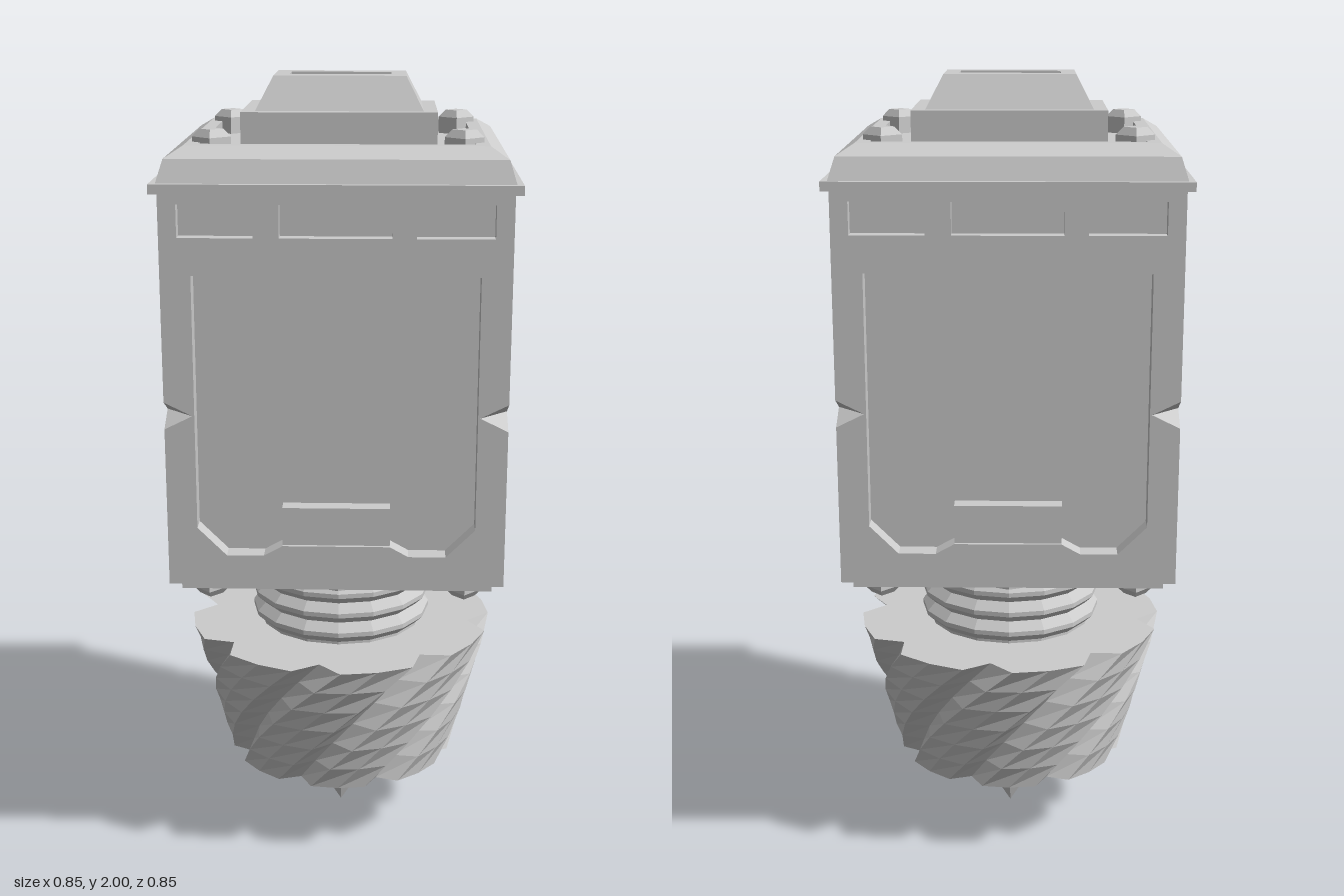
import * as THREE from 'three';

const material = new THREE.MeshStandardMaterial({ color: 0xcccccc, flatShading: true });

function add(parent, name, geometry, x = 0, y = 0, z = 0) {
  const mesh = new THREE.Mesh(geometry, material);
  mesh.name = name;
  mesh.position.set(x, y, z);
  parent.add(mesh);
  return mesh;
}

function fromTriangles(points) {
  const geometry = new THREE.BufferGeometry().setFromPoints(points);
  geometry.computeVertexNormals();
  return geometry;
}

const vec = (x, y, z) => new THREE.Vector3(x, y, z);

// Skin over closed rings listed from bottom to top, with optional end caps
function loft(rings, capBottom = true, capTop = true) {
  const tris = [];
  const n = rings[0].length;
  const last = rings.length - 1;
  for (let i = 0; i < last; i++) {
    for (let k = 0; k < n; k++) {
      const j = (k + 1) % n;
      const [a, b, c, d] = [rings[i][k], rings[i][j], rings[i + 1][j], rings[i + 1][k]];
      tris.push(a, b, c, a, c, d);
    }
  }
  for (let k = 0; k < n; k++) {
    const j = (k + 1) % n;
    if (capBottom) tris.push(vec(0, rings[0][0].y, 0), rings[0][j], rings[0][k]);
    if (capTop) tris.push(vec(0, rings[last][0].y, 0), rings[last][k], rings[last][j]);
  }
  return fromTriangles(tris);
}

const rectRing = (hx, hz, y) =>
  [vec(-hx, y, hz), vec(hx, y, hz), vec(hx, y, -hz), vec(-hx, y, -hz)];

const rect = (x0, y0, x1, y1) => [[x0, y0], [x1, y0], [x1, y1], [x0, y1]];
const toShape = (pts) => new THREE.Shape(pts.map(([x, y]) => new THREE.Vector2(x, y)));

// Flat plate with sunken pockets; outlines run counter-clockwise
function pocketPlate(name, outline, pockets) {
  const group = new THREE.Group();
  group.name = name;
  const shape = toShape(outline);
  shape.holes = pockets.map((p) => toShape(p.points));
  add(group, name + 'Face', new THREE.ShapeGeometry(shape));
  for (const { points, depth } of pockets) {
    const tris = [];
    points.forEach(([ax, ay], i) => {
      const [bx, by] = points[(i + 1) % points.length];
      const a = vec(ax, ay, 0), b = vec(bx, by, 0);
      const c = vec(bx, by, -depth), d = vec(ax, ay, -depth);
      tris.push(a, b, c, a, c, d);
    });
    add(group, name + 'PocketRim', fromTriangles(tris));
    add(group, name + 'PocketFloor', new THREE.ShapeGeometry(toShape(points)), 0, 0, -depth);
  }
  return group;
}

// One side of the housing: windows, large recessed panel, tab and corner nick
function housingSide() {
  const c = 0.407, tip = 0.34, bottom = 0.81, top = 1.77, mid = 1.235, nick = 0.033;
  const outline = [
    [-c, bottom], [c, bottom], [c, mid - nick], [tip, mid], [c, mid + nick], [c, top],
    [-c, top], [-c, mid + nick], [-tip, mid], [-c, mid - nick],
  ];
  const half = [
    [0.13, 0.91], [0.175, 0.885], [0.265, 0.885], [0.335, 0.955],
    [0.335, 1.57], [0.175, 1.57], [0.125, 1.535],
  ];
  const panel = [...half, ...half.map(([x, y]) => [-x, y]).reverse()];
  const windows = [[-0.365, -0.19], [-0.13, 0.13], [0.185, 0.365]];
  const side = pocketPlate('housingSide', outline, [
    { points: panel, depth: 0.05 },
    ...windows.map(([a, b]) => ({ points: rect(a, 1.658, b, 1.735), depth: 0.035 })),
  ]);
  side.children.forEach((m) => { m.position.z += c; });
  add(side, 'panelTab', new THREE.BoxGeometry(0.26, 0.095, 0.042), 0, 0.957, c - 0.03);
  const up = vec(c, mid + nick, c), down = vec(c, mid - nick, c);
  const p = vec(tip, mid, c), q = vec(c, mid, tip);
  add(side, 'cornerNick', fromTriangles([up, p, q, down, q, p]));
  return side;
}

// Square bolt head with a chamfered end, corners on the axes
function bolt(parent, name, x, y, z, flipped) {
  const profile = [[0, 0], [0.046, 0], [0.046, 0.05], [0.028, 0.068], [0, 0.068]];
  const mesh = add(parent, name, new THREE.LatheGeometry(
    profile.map(([r, h]) => new THREE.Vector2(r, h)), 4), x, y, z);
  if (flipped) mesh.rotation.x = Math.PI;
}

// Tapered cutter with eight twisted grooves
function cutterGeometry() {
  const rings = [];
  const steps = 6, flutes = 8, pitch = (Math.PI * 2) / flutes;
  const tooth = [[0, 0.86], [0.2, 1], [0.5, 1.0], [0.8, 1]];
  for (let i = 0; i <= steps; i++) {
    const t = i / steps;
    const radius = 0.3 + 0.1 * t;
    const twist = pitch / 2 + t * Math.PI / 3;
    const ring = [];
    for (let f = 0; f < flutes; f++) {
      for (const [u, r] of tooth) {
        const a = twist + (f + u) * pitch;
        ring.push(vec(Math.sin(a) * r * radius, 0.197 + 0.371 * t, Math.cos(a) * r * radius));
      }
    }
    rings.push(ring);
  }
  return loft(rings);
}

export function createModel() {
  const model = new THREE.Group();
  model.name = 'drillUnit';

  // Housing
  for (let i = 0; i < 4; i++) {
    const side = housingSide();
    side.rotation.y = (i * Math.PI) / 2;
    model.add(side);
  }
  add(model, 'housingBase', loft([rectRing(0.407, 0.407, 0.81), rectRing(0.407, 0.407, 0.812)]));
  add(model, 'basePlate', new THREE.BoxGeometry(0.76, 0.025, 0.76), 0, 0.8, 0);

  // Lid with sunken top
  add(model, 'lidRim', new THREE.BoxGeometry(0.85, 0.022, 0.85), 0, 1.771, 0);
  add(model, 'lid', loft([
    rectRing(0.41, 0.41, 1.78), rectRing(0.393, 0.39, 1.835), rectRing(0.352, 0.338, 1.86),
  ], true, false));
  const lidTop = pocketPlate('lidTop', rect(-0.352, -0.338, 0.352, 0.338),
    [{ points: rect(-0.32, -0.305, 0.32, 0.305), depth: 0.03 }]);
  lidTop.rotation.x = -Math.PI / 2;
  lidTop.position.y = 1.86;
  model.add(lidTop);

  // Stepped mount with a slot
  add(model, 'mountBase', loft([rectRing(0.235, 0.174, 1.83), rectRing(0.235, 0.174, 1.92)]));
  add(model, 'mountTaper',
    loft([rectRing(0.202, 0.141, 1.92), rectRing(0.16, 0.099, 2)], true, false));
  const slot = pocketPlate('mountSlot', rect(-0.16, -0.099, 0.16, 0.099),
    [{ points: rect(-0.124, -0.044, 0.124, 0.044), depth: 0.04 }]);
  slot.rotation.x = -Math.PI / 2;
  slot.position.y = 2;
  model.add(slot);

  // Bolts above and below
  for (const sx of [-1, 1]) {
    for (const sz of [-1, 1]) {
      bolt(model, 'lidBolt', sx * 0.295, 1.822, sz * 0.258, false);
      bolt(model, 'baseBolt', sx * 0.315, 0.818, sz * 0.315, true);
    }
  }

  // Collar and ribbed neck
  add(model, 'collar', new THREE.CylinderGeometry(0.262, 0.262, 0.055, 8), 0, 0.763, 0);
  const ribs = [];
  for (let i = 0; i < 3; i++) {
    const y = 0.575 + i * 0.054;
    ribs.push([0.215, y], [0.236, y + 0.02], [0.236, y + 0.032]);
  }
  ribs.unshift([0.215, 0.56]);
  ribs.push([0.215, 0.74]);
  add(model, 'ribbedNeck', new THREE.LatheGeometry(
    ribs.map(([r, y]) => new THREE.Vector2(r, y)), 16));

  // Cutter and point
  add(model, 'cutter', cutterGeometry());
  const tip = add(model, 'cutterPoint', new THREE.ConeGeometry(0.125, 0.197, 4), 0, 0.0985, 0);
  tip.rotation.x = Math.PI;

  return model;
}
